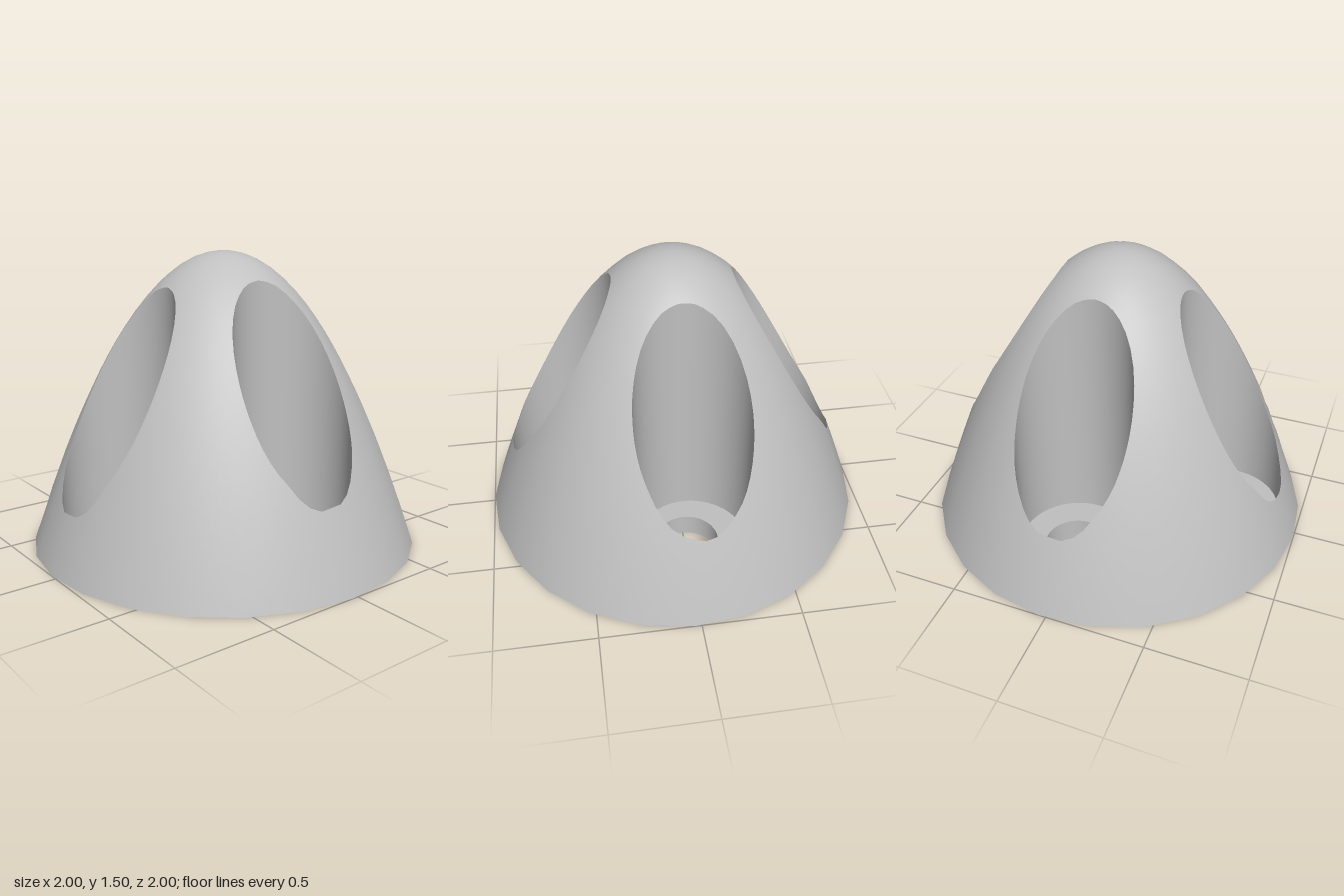
import * as THREE from 'three';

const HEIGHT = 1.5;        // dome height over a unit base
const SIDES = 24;          // sides of the base polygon
const STEP = (Math.PI * 2) / SIDES;
const TURN = 0.037;        // slight twist of the base polygon
const SEAT_Y = 0.12;       // floor of the wide pockets
const POCKET_R = 0.283, BORE_R = 0.157;

// pocket centre and bore centre, for +x, +z, -x, -z
const HOLES = [
  { pocket: [0.575, 0.032], bore: [0.57, 0.055] },
  { pocket: [-0.032, 0.615], bore: [-0.043, 0.593] },
  { pocket: [-0.577, -0.013], bore: [-0.59, -0.01] },
  { pocket: [-0.02, -0.56], bore: [0, -0.55] },
];

// radius of the base polygon in direction a
function polygonRadius(a) {
  const d = (((a - TURN) % STEP) + STEP) % STEP;
  return Math.cos(STEP / 2) / Math.cos(d - STEP / 2);
}

// height of the parabolic dome over a point of the base
function domeY(x, z) {
  const rho = Math.hypot(x, z) / polygonRadius(Math.atan2(z, x));
  return Math.max(0, HEIGHT * (1 - rho * rho));
}

// surface through closed loops of equal length
function loft(rows) {
  const n = rows[0].length, index = [];
  for (let i = 0; i < rows.length - 1; i++) {
    for (let j = 0; j < n; j++) {
      const k = (j + 1) % n;
      const a = i * n + j, b = (i + 1) * n + j, c = i * n + k, d = (i + 1) * n + k;
      index.push(a, c, b, b, c, d);
    }
  }
  const geo = new THREE.BufferGeometry().setFromPoints(rows.flat());
  geo.setIndex(index);
  geo.computeVertexNormals();
  return geo;
}

// outline of one quarter of the base: out along one edge, round the rim, and back
function quarterOutline(q) {
  const pts = [], rays = 14, cuts = 3;
  const a0 = TURN + (q * 6 - 3) * STEP, a1 = a0 + 6 * STEP;
  const add = (a, r) => pts.push([Math.cos(a) * r, Math.sin(a) * r]);
  for (let i = 0; i < rays; i++) add(a0, i / rays);
  for (let i = 0; i <= 6 * cuts; i++) {
    const a = a0 + (i / cuts) * STEP;
    add(a, polygonRadius(a));
  }
  for (let i = rays - 1; i > 0; i--) add(a1, i / rays);
  return pts;
}

export function createModel() {
  const model = new THREE.Group();
  const grey = new THREE.MeshStandardMaterial({ color: 0xc0c0c0 });
  grey.name = 'plain grey';

  const addMesh = (parent, name, geo) => {
    const mesh = new THREE.Mesh(geo, grey);
    mesh.name = name;
    parent.add(mesh);
  };

  const base = new THREE.Shape();
  base.setFromPoints(Array.from({ length: SIDES }, (_, i) =>
    new THREE.Vector2(Math.cos(TURN + i * STEP), Math.sin(TURN + i * STEP))));

  HOLES.forEach(({ pocket, bore }, q) => {
    const quarter = new THREE.Group();
    quarter.name = 'domeQuarter';
    model.add(quarter);

    const outline = quarterOutline(q);
    const angles = outline.map(([x, z]) => Math.atan2(z - pocket[1], x - pocket[0]));
    const circle = ([cx, cz], r, y) => angles.map(a =>
      new THREE.Vector3(cx + Math.cos(a) * r, y, cz + Math.sin(a) * r));

    // dome skin from the pocket rim out to the quarter outline
    const rim = circle(pocket, POCKET_R, 0);
    const rows = [];
    for (let i = 0; i <= 8; i++) {
      rows.push(rim.map((p, j) => {
        const x = THREE.MathUtils.lerp(p.x, outline[j][0], i / 8);
        const z = THREE.MathUtils.lerp(p.z, outline[j][1], i / 8);
        return new THREE.Vector3(x, domeY(x, z), z);
      }));
    }
    const skin = loft(rows);
    // exact normals keep the quarters seamless
    const pos = skin.attributes.position, normal = new THREE.Vector3();
    for (let i = 0; i < pos.count; i++) {
      normal.set(2 * HEIGHT * pos.getX(i), 1, 2 * HEIGHT * pos.getZ(i)).normalize();
      skin.attributes.normal.setXYZ(i, normal.x, normal.y, normal.z);
    }
    addMesh(quarter, 'domeSkin', skin);

    // wide pocket, its floor and the narrow bore below it
    const seat = circle(pocket, POCKET_R, SEAT_Y);
    const boreTop = circle(bore, BORE_R, SEAT_Y);
    const boreBottom = circle(bore, BORE_R, 0);
    addMesh(quarter, 'pocketWall', loft([seat, rows[0]]));
    addMesh(quarter, 'pocketFloor', loft([boreTop, seat]));
    addMesh(quarter, 'boreWall', loft([boreBottom, boreTop]));

    base.holes.push(new THREE.Path(boreBottom.map(p => new THREE.Vector2(p.x, p.z))));
  });

  // underside with the four bores
  addMesh(model, 'underside', new THREE.ShapeGeometry(base).rotateX(Math.PI / 2));
  return model;
}
